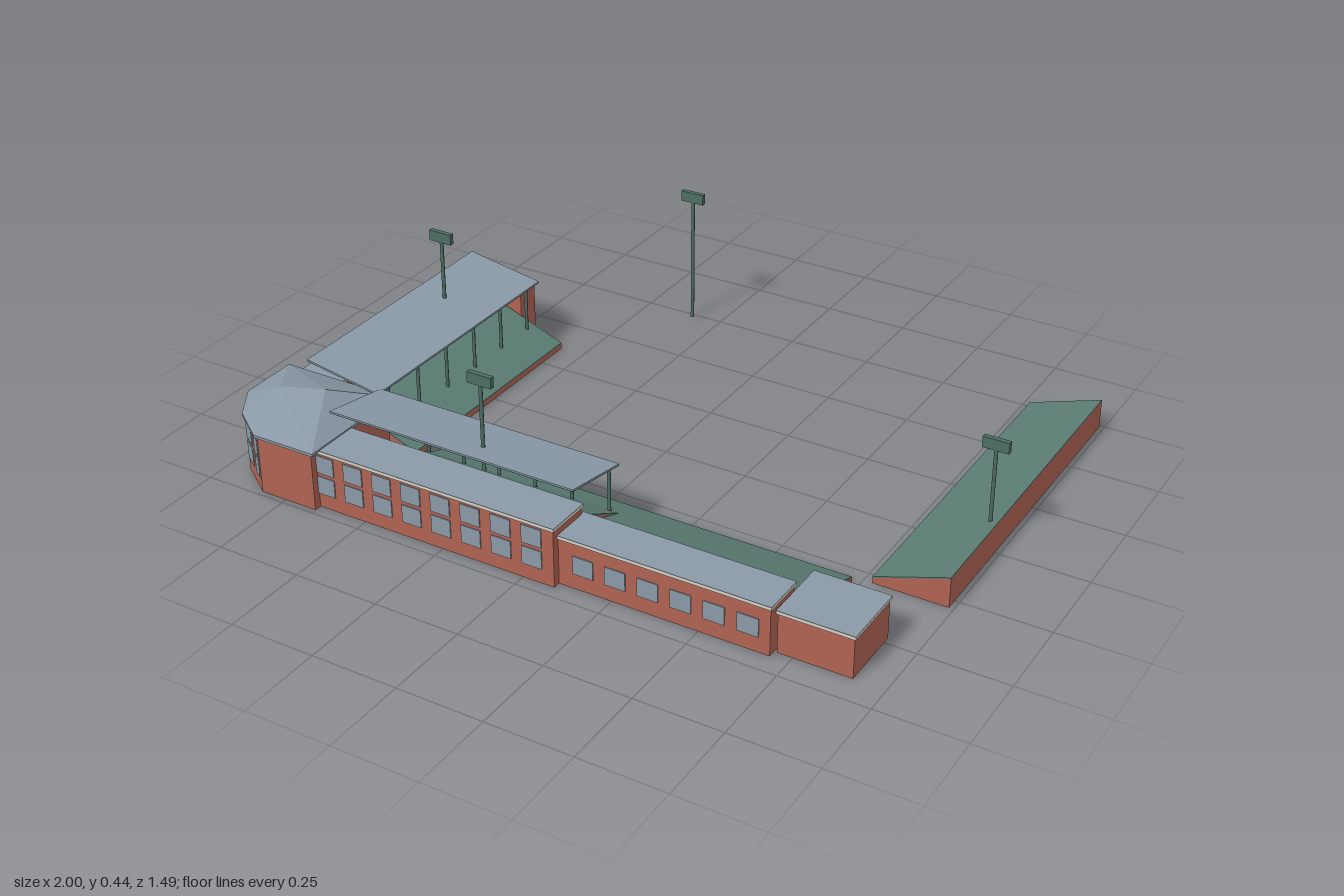
import * as THREE from 'three';
import { ConvexGeometry } from 'three/addons/geometries/ConvexGeometry.js';

const mat = (name, color, side = THREE.FrontSide) => {
  const m = new THREE.MeshStandardMaterial({ color, side });
  m.name = name;
  return m;
};

export function createModel() {
  const root = new THREE.Group();
  root.name = 'stadium';
  const brick = mat('brick', 0xb06353, THREE.DoubleSide);
  const slate = mat('slate roof', 0x8b99a7);
  const glass = mat('window glass', 0x8b9aa8);
  const seats = mat('green seating', 0x5b7d74);
  const steel = mat('green steel', 0x4d6d63);
  const trim = mat('pale trim', 0xd4d2c4);

  const add = (name, geo, material, parent = root) => {
    const m = new THREE.Mesh(geo, material);
    m.name = name;
    parent.add(m);
    return m;
  };

  // box from its limits
  const box = (name, material, x0, x1, y0, y1, z0, z1, parent = root) => {
    const g = new THREE.BoxGeometry(x1 - x0, y1 - y0, z1 - z0);
    g.translate((x0 + x1) / 2, (y0 + y1) / 2, (z0 + z1) / 2);
    return add(name, g, material, parent);
  };

  // upright walls around an [x, z] outline, open above and below
  const shell = (name, outline, h, parent = root) => {
    const pos = [];
    outline.forEach(([ax, az], i) => {
      const [bx, bz] = outline[(i + 1) % outline.length];
      pos.push(ax, 0, az, bx, 0, bz, bx, h, bz, ax, 0, az, bx, h, bz, ax, h, az);
    });
    const g = new THREE.BufferGeometry();
    g.setAttribute('position', new THREE.Float32BufferAttribute(pos, 3));
    g.computeVertexNormals();
    return add(name, g, brick, parent);
  };

  // [z, y] profile swept along x
  const sweep = (name, material, profile, x0, x1, parent) => {
    const shape = new THREE.Shape(profile.map(([z, y]) => new THREE.Vector2(-z, y)));
    const g = new THREE.ExtrudeGeometry(shape, { depth: x1 - x0, bevelEnabled: false });
    g.rotateY(Math.PI / 2).translate(x0, 0, 0);
    return add(name, g, material, parent);
  };

  // sloping plate whose top runs from (z0, y0) to (z1, y1)
  const slope = (name, material, x0, x1, z0, z1, y0, y1, t, parent) =>
    sweep(name, material, [[z0, y0], [z1, y1], [z1, y1 - t], [z0, y0 - t]], x0, x1, parent);

  // --- flat-roofed brick wings ---
  const wing = (name, x0, x1, z0, z1, h) => {
    const g = new THREE.Group();
    g.name = name;
    root.add(g);
    const o = 0.004;
    shell(name + 'Walls', [[x0, z0], [x0, z1], [x1, z1], [x1, z0]], h - 0.01, g);
    box(name + 'Cornice', trim, x0 - o, x1 + o, h - 0.01, h - 0.002, z0 - o, z1 + o, g);
    box(name + 'Roof', slate, x0 - o, x1 + o, h - 0.002, h, z0 - o, z1 + o, g);
  };
  wing('mainWing', -0.66, 0.095, 0.58, 0.712, 0.178);
  wing('lowWing', 0.095, 0.699, 0.57, 0.69, 0.146);
  wing('endPavilion', 0.707, 0.912, 0.478, 0.668, 0.125);
  wing('sideWing', -0.985, -0.85, -0.366, 0.41, 0.15);
  wing('sideEndBlock', -0.97, -0.724, -0.435, -0.36, 0.155);

  // --- windows ---
  const pane = (x, y, z, turn = 0, w = 0.06) => {
    const p = add('window', new THREE.BoxGeometry(w, 0.053, 0.004), glass);
    p.position.set(x, y, z);
    p.rotation.y = turn;
  };
  for (let i = 0; i < 8; i++)
    for (const y of [0.07, 0.134]) pane(-0.625 + i * 0.0935, y, 0.713);
  for (let i = 0; i < 6; i++) pane(0.168 + i * 0.094, 0.072, 0.691);
  for (let i = 0; i < 7; i++) pane(-0.986, 0.075, -0.282 + i * 0.094, -Math.PI / 2);

  // --- faceted corner pavilion ---
  shell('cornerWalls', [[-0.985, 0.4], [-0.985, 0.565], [-0.936, 0.658], [-0.83, 0.734],
    [-0.65, 0.734], [-0.65, 0.4]], 0.178);
  const eaves = [[-1, 0.39], [-1, 0.567], [-0.936, 0.669], [-0.834, 0.744], [-0.637, 0.744], [-0.637, 0.39]];
  const hull = [new THREE.Vector3(-0.86, 0.25, 0.593), new THREE.Vector3(-0.743, 0.25, 0.545)];
  for (const [x, z] of eaves)
    for (const y of [0.174, 0.182]) hull.push(new THREE.Vector3(x, y, z));
  add('cornerRoof', new ConvexGeometry(hull), slate);
  const facet = Math.atan2(-0.076, 0.106);
  for (const y of [0.07, 0.134]) {
    pane(-0.907, y, 0.68, facet, 0.056);
    pane(-0.849, y, 0.7215, facet, 0.036);
  }

  // --- seating banks: local z runs outward and up ---
  const side = (name, turn) => {
    const g = new THREE.Group();
    g.name = name;
    g.rotation.y = turn;
    root.add(g);
    return g;
  };
  const front = side('frontStand', 0);
  const left = side('sideStand', -Math.PI / 2);
  const right = side('openStand', Math.PI / 2);
  const bank = (g, x0, x1, z0, z1, y0, y1) => {
    const w = 0.005, d = 0.004;
    slope('seating', seats, x0, x1, z0, z1, y0, y1, d, g);
    const end = [[z0, 0], [z0, y0 - d], [z1, y1 - d], [z1, 0]];
    sweep('endWall', brick, end, x0, x0 + w, g);
    sweep('endWall', brick, end, x1 - w, x1, g);
    box('kerb', brick, x0, x1, 0, y0 - d, z0, z0 + w, g);
    box('backWall', brick, x0, x1, 0, y1 - d, z1 - w, z1, g);
  };
  bank(front, -0.51, 0.73, 0.31, 0.575, 0.018, 0.115);
  bank(front, -0.51, 0.095, 0.34, 0.6, 0.02, 0.155);
  bank(left, -0.355, 0.382, 0.578, 0.895, 0.02, 0.14);
  bank(right, -0.285, 0.74, 0.775, 0.987, 0.02, 0.09);

  // --- canopies and their posts ---
  const canopy = (g, x0, x1, z0, z1, y0, y1) => {
    slope('canopyRoof', slate, x0, x1, z0, z1, y0, y1, 0.004, g);
    slope('canopySoffit', steel, x0, x1, z0, z1, y0 - 0.004, y1 - 0.004, 0.002, g);
  };
  const post = (g, x, y0, y1, z, r) => {
    const p = add('post', new THREE.CylinderGeometry(r, r, y1 - y0, 8), steel, g);
    p.position.set(x, (y0 + y1) / 2, z);
  };
  canopy(front, -0.67, 0.097, 0.401, 0.621, 0.203, 0.242);
  canopy(left, -0.368, 0.424, 0.662, 0.903, 0.2, 0.24);
  for (let i = 0; i < 6; i++) {
    post(front, -0.508 + i * 0.116, 0.04, 0.2, 0.412, 0.005);
    post(left, -0.32 + i * 0.136, 0.04, 0.197, 0.677, 0.005);
  }

  // --- floodlights ---
  for (const [x, z, y0, top] of [
    [-0.812, -0.098, 0.08, 0.438],
    [-0.228, 0.545, 0.02, 0.445],
    [-0.343, -0.738, 0, 0.42],
    [0.962, -0.015, 0.075, 0.328],
  ]) {
    const g = new THREE.Group();
    g.name = 'floodlight';
    root.add(g);
    post(g, x, y0, top - 0.02, z, 0.0055);
    box('lampHead', steel, x - 0.037, x + 0.037, top - 0.032, top, z - 0.007, z + 0.007, g);
  }
  return root;
}
